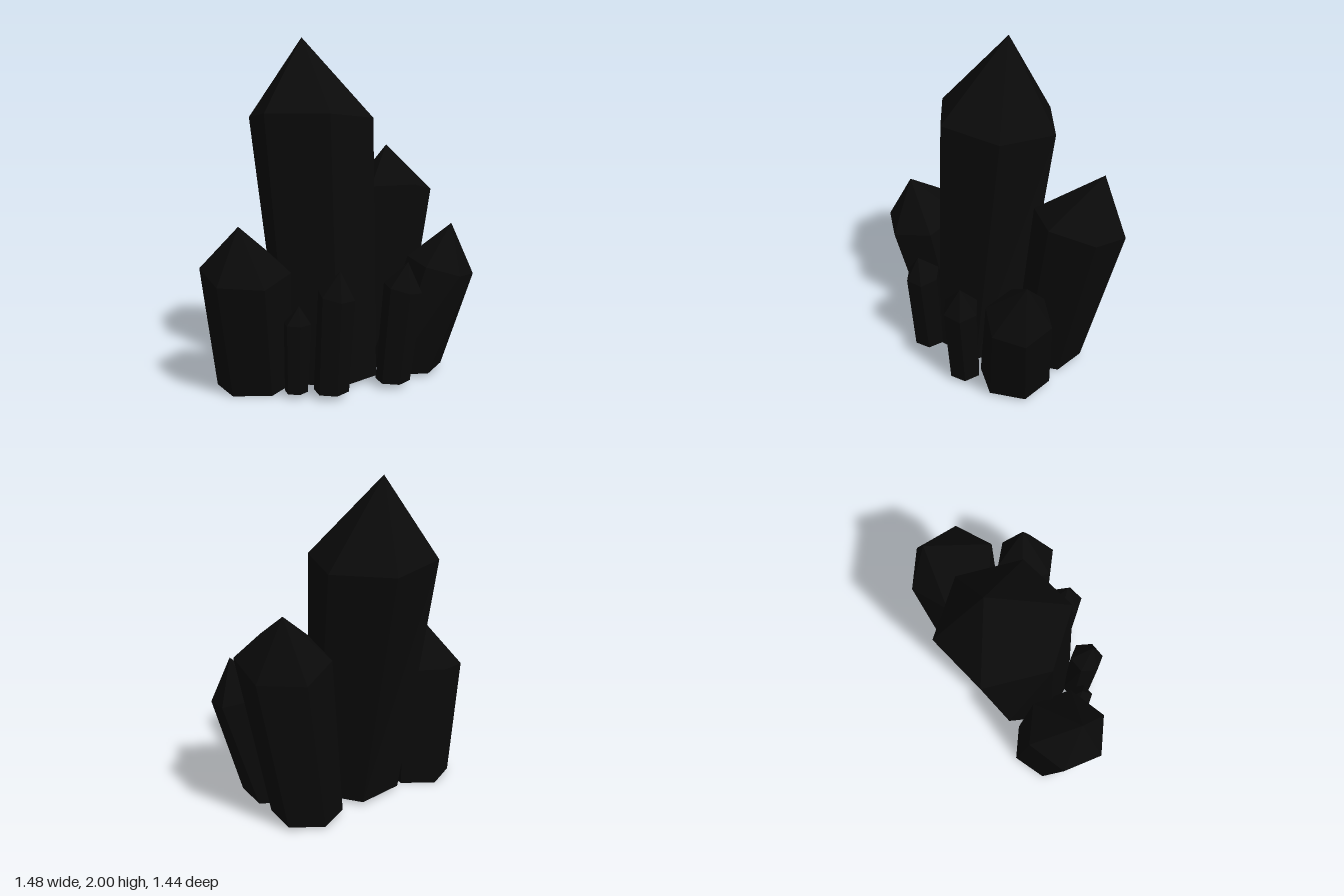
import * as THREE from 'three';

const SIDES = 6;

// Six-sided ring; slope tilts it as y += sx * dx + sz * dz
function ring({ c: [x, y, z], r, a, slope: [sx, sz] = [0, 0] }) {
  return Array.from({ length: SIDES }, (_, i) => {
    const t = THREE.MathUtils.degToRad(a + (i * 360) / SIDES);
    const dx = r * Math.cos(t), dz = r * Math.sin(t);
    return [x + dx, y + sx * dx + sz * dz, z + dz];
  });
}

// Leaning prism from base to shoulder, closed by a pointed tip
function crystalGeometry({ base, shoulder, tip }) {
  const lo = ring(base), hi = ring(shoulder), p = [];
  for (let i = 0; i < SIDES; i++) {
    const j = (i + 1) % SIDES;
    p.push(lo[i], hi[i], lo[j], hi[i], hi[j], lo[j]); // side
    p.push(hi[i], tip, hi[j]); // point
    p.push(base.c, lo[i], lo[j]); // underside
  }
  const g = new THREE.BufferGeometry();
  g.setAttribute('position', new THREE.Float32BufferAttribute(p.flat(), 3));
  g.computeVertexNormals();
  return g;
}

const CRYSTALS = {
  mainCrystal: {
    base: { c: [-0.1, 0.02, 0.11], r: 0.3, a: 7 },
    shoulder: { c: [-0.225, 1.53, -0.005], r: 0.378, a: 0, slope: [0, 0.1] },
    tip: [-0.29, 2, -0.07],
  },
  backCrystal: {
    base: { c: [0.1, 0.02, -0.32], r: 0.215, a: -13 },
    shoulder: { c: [0.19, 1.045, -0.465], r: 0.27, a: -13, slope: [0.1, 0.25] },
    tip: [0.15, 1.335, -0.6],
  },
  leftCrystal: {
    base: { c: [0.345, 0.02, -0.095], r: 0.22, a: -14 },
    shoulder: { c: [0.55, 0.65, -0.1], r: 0.197, a: -9, slope: [-0.27, 0] },
    tip: [0.61, 0.9, -0.14],
  },
  frontRightCrystal: {
    base: { c: [-0.48, 0, 0.355], r: 0.218, a: -12 },
    shoulder: { c: [-0.49, 0.7, 0.475], r: 0.254, a: -11, slope: [-0.1, -0.22] },
    tip: [-0.5, 0.96, 0.555],
  },
  smallFrontCrystal: {
    base: { c: [-0.01, 0.03, 0.45], r: 0.1, a: 0 },
    shoulder: { c: [0.025, 0.58, 0.467], r: 0.106, a: 5, slope: [-0.2, -0.1] },
    tip: [0.05, 0.72, 0.49],
  },
  smallLeftCrystal: {
    base: { c: [0.305, 0.03, 0.215], r: 0.1, a: 0 },
    shoulder: { c: [0.362, 0.58, 0.23], r: 0.11, a: 2, slope: [-0.25, 0] },
    tip: [0.39, 0.73, 0.23],
  },
  tinyCrystal: {
    base: { c: [-0.2, 0.03, 0.495], r: 0.066, a: 0 },
    shoulder: { c: [-0.19, 0.42, 0.497], r: 0.078, a: 3 },
    tip: [-0.18, 0.52, 0.5],
  },
};

export function createModel() {
  const group = new THREE.Group();
  group.name = 'crystalCluster';
  const material = new THREE.MeshStandardMaterial({ color: 0x0a0a0a, flatShading: true });
  for (const [name, spec] of Object.entries(CRYSTALS)) {
    const mesh = new THREE.Mesh(crystalGeometry(spec), material);
    mesh.name = name;
    group.add(mesh);
  }
  return group;
}
